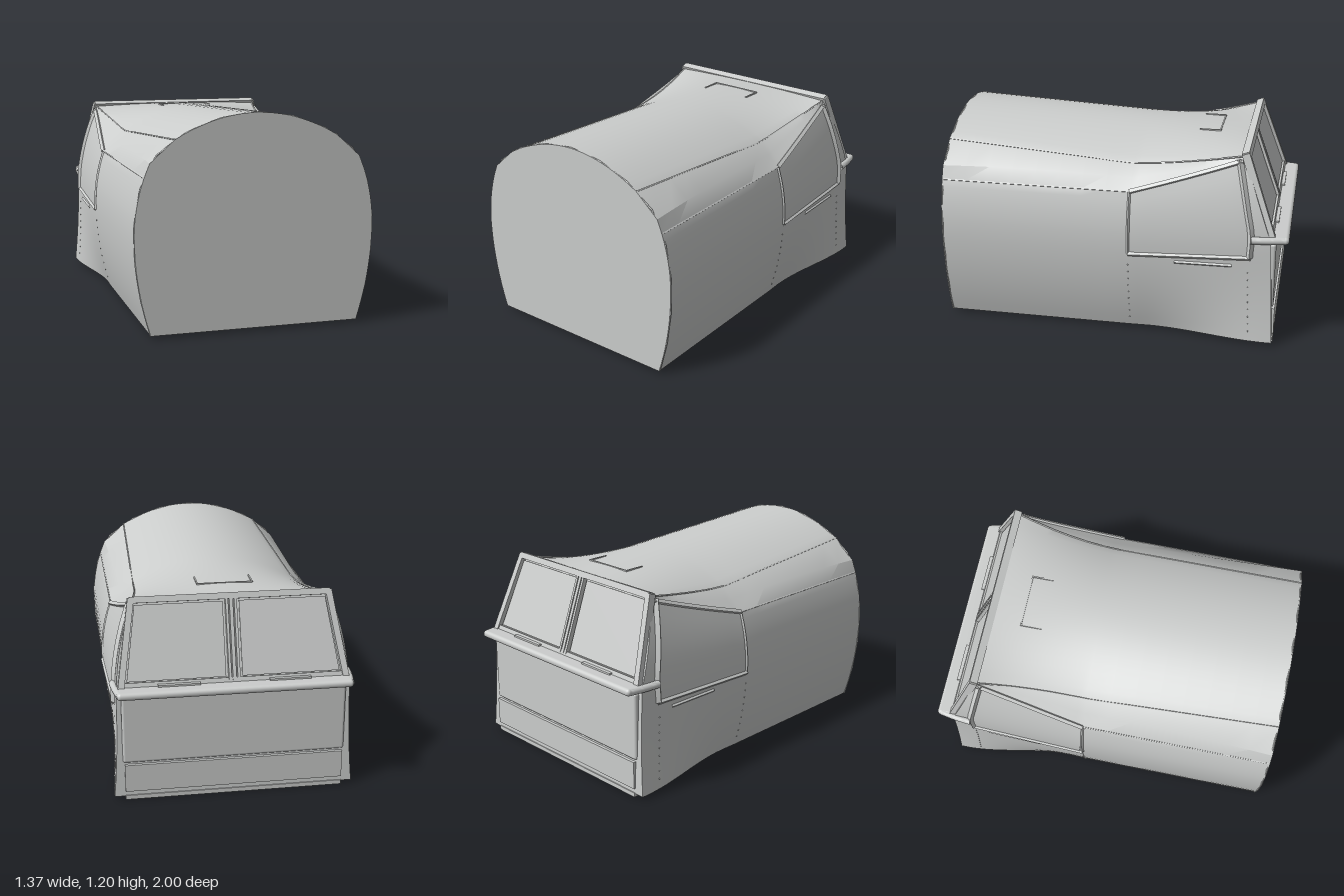
import * as THREE from 'three';
import { toCreasedNormals } from 'three/addons/utils/BufferGeometryUtils.js';
import { RoundedBoxGeometry } from 'three/addons/geometries/RoundedBoxGeometry.js';

const lerp = THREE.MathUtils.lerp;
const Z0 = -0.1; // where the cab zone starts; s runs 0..1 from here to the windscreen

// rear end: near-vertical panel below, raked windscreen above
const zEnd = y => y < 0.63 ? lerp(-0.93, -0.9, (y - 0.02) / 0.61) : lerp(-0.9, -0.73, (y - 0.63) / 0.47);

// half width of the side wall at height y
function wallX(y, s) {
  const flare = THREE.MathUtils.smoothstep(s, 0.1, 1);
  const c = y < 0.55 ? lerp(0.3, -0.09, flare) : lerp(0.55, 0.36, s);
  return lerp(0.67, 0.645, s) - c * (y - 0.55) ** 2;
}
const edgeY = s => lerp(0.865, 1.07, s); // upper edge of the side wall
const wallPoint = (y, s, side, out = 0) =>
  new THREE.Vector3(side * (wallX(y, s) + out), y, lerp(Z0, zEnd(y), s));

// crease where the roof meets the sloping shoulder; f is 1 at the front bulkhead
const crease = (f, s) => f > 0
  ? [lerp(0.48, 0.45, f), lerp(0.99, 1.06, f)]
  : [0.48 + 0.065 * s * s, 0.99 + 0.1 * s ** 1.5];

// one full cross-section, from the +x bottom corner over the roof
function section(f, s) {
  const half = [], ey = edgeY(s), [cx, cy] = crease(f, s);
  for (let i = 0; i < 10; i++) half.push([wallX(lerp(0.02, 0.63, i / 10), s), lerp(0.02, 0.63, i / 10)]);
  for (let i = 0; i <= 6; i++) half.push([wallX(lerp(0.63, ey, i / 6), s), lerp(0.63, ey, i / 6)]);
  half.push([lerp((cx + wallX(ey, s)) / 2, 0.585, f), lerp((cy + ey) / 2, 0.94, f)]);
  const zr = f > 0 ? lerp(Z0, 1, f) : lerp(Z0, -0.73, s);
  const top = 1.19 - 0.09 * (1 - zr) / 1.73;
  for (let i = 10; i >= 1; i--) half.push([cx * i / 10, top - (top - cy) * (i / 10) ** 2]);
  const ring = [...half, [0, top], ...half.map(([x, y]) => [-x, y]).reverse()];
  return ring.map(([x, y]) => [x, y, f > 0 ? zr : lerp(Z0, zEnd(y), s)]);
}

function hullGeometry() {
  const rings = [];
  for (let i = 0; i < 8; i++) rings.push(section(1 - i / 8, 0));
  for (let i = 0; i <= 16; i++) rings.push(section(0, i / 16));
  const n = rings[0].length, idx = [], last = (rings.length - 1) * n;
  const quad = (a, b, c, d) => idx.push(a, b, c, a, c, d);
  for (let j = 0; j < rings.length - 1; j++)
    for (let i = 0; i < n; i++) {
      const k = (i + 1) % n;
      quad(j * n + i, (j + 1) * n + i, (j + 1) * n + k, j * n + k);
    }
  // end walls, closed with rows from side to side
  for (let i = 0; i < (n - 1) / 2; i++) {
    const r = n - 1 - i;
    quad(i, i + 1, r - 1, r);
    quad(last + r, last + r - 1, last + i + 1, last + i);
  }
  const g = new THREE.BufferGeometry();
  g.setAttribute('position', new THREE.Float32BufferAttribute(rings.flat(2), 3));
  g.setIndex(idx);
  return toCreasedNormals(g, 0.4);
}

export function createModel() {
  const model = new THREE.Group();
  model.name = 'vehicleCab';
  const grey = new THREE.MeshStandardMaterial({ color: 0xcbcdcc, side: THREE.DoubleSide });
  grey.name = 'light grey';

  const add = (name, geo, parent = model) => {
    const m = new THREE.Mesh(geo, grey);
    m.name = name;
    parent.add(m);
    return m;
  };
  const box = (name, w, h, d, x, y, z, parent) => {
    const m = add(name, new THREE.BoxGeometry(w, h, d), parent);
    m.position.set(x, y, z);
    return m;
  };
  const strip = (name, pts, r, sides = 4) =>
    add(name, toCreasedNormals(new THREE.TubeGeometry(new THREE.CatmullRomCurve3(pts), 16, r, sides), sides > 4 ? 1 : 0.4));
  const steps = [0, 0.25, 0.5, 0.75, 1];

  add('hull', hullGeometry());

  // rim around the front bulkhead
  strip('bulkheadRim', section(1, 0).map(([x, y]) => new THREE.Vector3(x, y, 0.994)), 0.005);

  for (const side of [1, -1]) {
    // side window: pane and four frame rails following the wall
    const sRear = y => lerp(0.85, 0.94, (y - 0.53) / 0.53);
    const pane = new THREE.PlaneGeometry(1, 1, 8, 8), p = pane.attributes.position;
    for (let i = 0; i < p.count; i++) {
      const u = p.getX(i) + 0.5, v = p.getY(i) + 0.5;
      const s = lerp(0.02, lerp(0.85, 0.94, v), u);
      const q = wallPoint(lerp(0.52, edgeY(s) - 0.01, v), s, side, 0.003);
      p.setXYZ(i, q.x, q.y, q.z);
    }
    if (side < 0) pane.index.array.reverse();
    pane.computeVertexNormals();
    add('sideWindowPane', pane);
    const rail = (name, fn, r) => strip(name, steps.map(fn), r);
    rail('sideWindowSill', t => wallPoint(lerp(0.51, 0.53, t), t * 0.86, side), 0.015);
    rail('sideWindowTopRail', t => wallPoint(edgeY(t * 0.97), t * 0.97, side), 0.016);
    rail('sideWindowFrontPost', t => wallPoint(lerp(0.51, 0.865, t), 0, side), 0.009);
    rail('sideWindowRearPost', t => {
      const y = lerp(0.53, 1.07, t);
      return wallPoint(y, sRear(y), side);
    }, 0.02);
    rail('sillGuide', t => wallPoint(0.477, lerp(0.33, 0.73, t), side), 0.009);

    // roof seam and shoulder edge
    const seam = [];
    for (let i = 0; i <= 4; i++) seam.push(crease(1 - i / 4, 0).concat(lerp(1, Z0, i / 4)));
    for (let i = 1; i <= 4; i++) seam.push(crease(0, i / 4).concat(lerp(Z0, -0.73, i / 4)));
    strip('roofSeam', seam.map(([x, y, z]) => new THREE.Vector3(side * x, y, z)), 0.005);
    strip('shoulderEdge', [0.99, 0.5, Z0].map(z => new THREE.Vector3(side * 0.614, 0.865, z)), 0.005);

    // rivet rows
    for (const s of [0, 0.84])
      for (let y = 0.08; y < 0.48; y += 0.045) {
        const rivet = add('rivet', new THREE.SphereGeometry(0.004, 6, 4));
        rivet.position.copy(wallPoint(y, s, side));
      }

    // bumper return and wiper base
    strip('bumperReturn', [-0.79, -0.88, -0.975].map((z, i) =>
      new THREE.Vector3(side * [0.655, 0.645, 0.628][i], 0.64, z)), 0.021, 12);
    box('wiperBase', 0.23, 0.012, 0.025, side * 0.305, 0.665, -0.918);
  }

  // windscreen assembly, raked as one plane
  const screen = new THREE.Group();
  screen.name = 'windscreen';
  screen.position.set(0, 0.875, -0.815);
  screen.rotation.x = 0.347;
  model.add(screen);
  box('windscreenHeader', 1.1, 0.035, 0.045, 0, 0.232, -0.005, screen);
  box('windscreenSill', 1.24, 0.03, 0.03, 0, -0.225, -0.005, screen);
  for (const side of [1, -1]) {
    const post = box('windscreenPost', 0.035, 0.49, 0.045, side * 0.58, 0, -0.005, screen);
    post.rotation.z = side * 0.157;
    box('mullionStrip', 0.015, 0.45, 0.03, side * 0.024, 0, -0.008, screen);
    const shape = new THREE.Shape([[0.045, -0.205], [0.585, -0.205], [0.525, 0.205], [0.045, 0.205]]
      .map(([x, y]) => new THREE.Vector2(side * x, y)));
    const pane = add('windscreenPane', new THREE.ExtrudeGeometry(shape, { depth: 0.006, bevelEnabled: false }), screen);
    pane.position.z = -0.009;
  }
  box('mullionCore', 0.02, 0.45, 0.036, 0, 0, -0.005, screen);

  // rear panels, bumper shelf and bottom lip
  add('bumper', new RoundedBoxGeometry(1.29, 0.042, 0.11, 4, 0.02)).position.set(0, 0.64, -0.945);
  add('upperRearPanel', new RoundedBoxGeometry(1.24, 0.39, 0.04, 3, 0.015)).position.set(0, 0.415, -0.91);
  box('lowerRearPanel', 1.22, 0.16, 0.02, 0, 0.13, -0.928);
  box('bottomLip', 1.22, 0.025, 0.035, 0, 0.0125, -0.918);

  // three-sided hatch outline on the roof
  box('hatchEdge', 0.31, 0.008, 0.008, 0, 1.108, -0.555);
  for (const side of [1, -1]) box('hatchEdge', 0.008, 0.008, 0.125, side * 0.155, 1.108, -0.495);

  return model;
}
